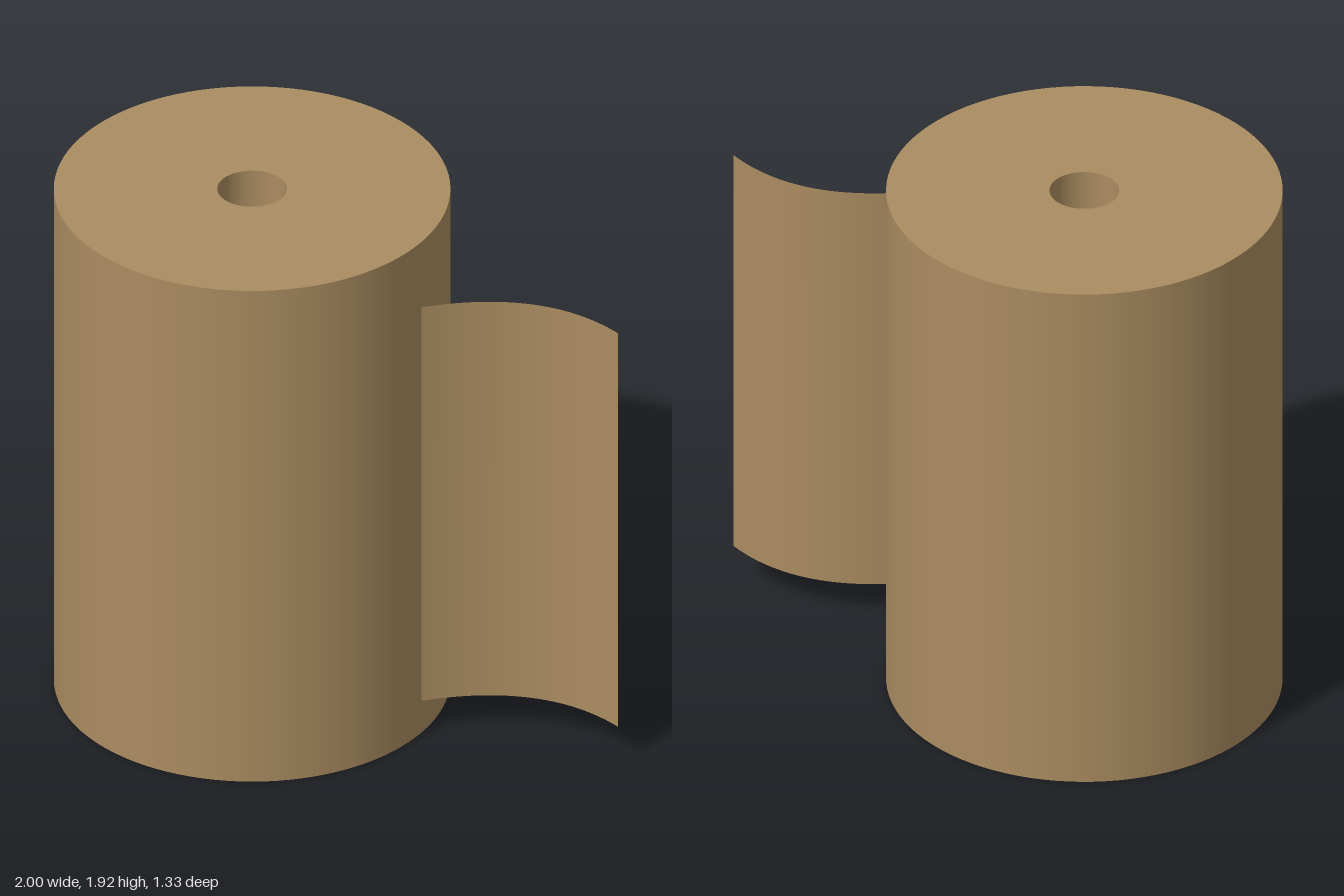
import * as THREE from 'three';

const RADIUS = 0.665, HOLE = 0.117, HEIGHT = 1.92, CENTER_X = -0.335;

// One surface of revolution per profile, so edges between them stay sharp
function revolve(name, points, material) {
  const profile = points.map(([r, y]) => new THREE.Vector2(r, y));
  const mesh = new THREE.Mesh(new THREE.LatheGeometry(profile, 96), material);
  mesh.name = name;
  return mesh;
}

export function createModel() {
  const model = new THREE.Group();
  model.name = 'paperRoll';
  const paper = new THREE.MeshStandardMaterial({ color: 0xaa8c60, side: THREE.DoubleSide });
  paper.name = 'brown paper';

  // Hollow wound roll
  const roll = new THREE.Group();
  roll.name = 'roll';
  roll.position.x = CENTER_X;
  roll.add(
    revolve('outerWrap', [[RADIUS, 0], [RADIUS, HEIGHT]], paper),
    revolve('topEnd', [[RADIUS, HEIGHT], [HOLE, HEIGHT]], paper),
    revolve('coreHole', [[HOLE, HEIGHT], [HOLE, 0]], paper),
    revolve('bottomEnd', [[HOLE, 0], [RADIUS, 0]], paper)
  );
  model.add(roll);

  // Loose sheet: a plane bent along a parabola in z
  const x0 = 0.325, x1 = 1, y0 = 0.13, y1 = 1.67, dip = 0.733;
  const sheetGeometry = new THREE.PlaneGeometry(x1 - x0, y1 - y0, 24, 1);
  sheetGeometry.translate((x0 + x1) / 2, (y0 + y1) / 2, 0);
  const p = sheetGeometry.attributes.position;
  for (let i = 0; i < p.count; i++) {
    p.setZ(i, -0.05 + 0.98 * (p.getX(i) - dip) ** 2);
  }
  sheetGeometry.computeVertexNormals();
  const sheet = new THREE.Mesh(sheetGeometry, paper);
  sheet.name = 'looseSheet';
  model.add(sheet);

  return model;
}
